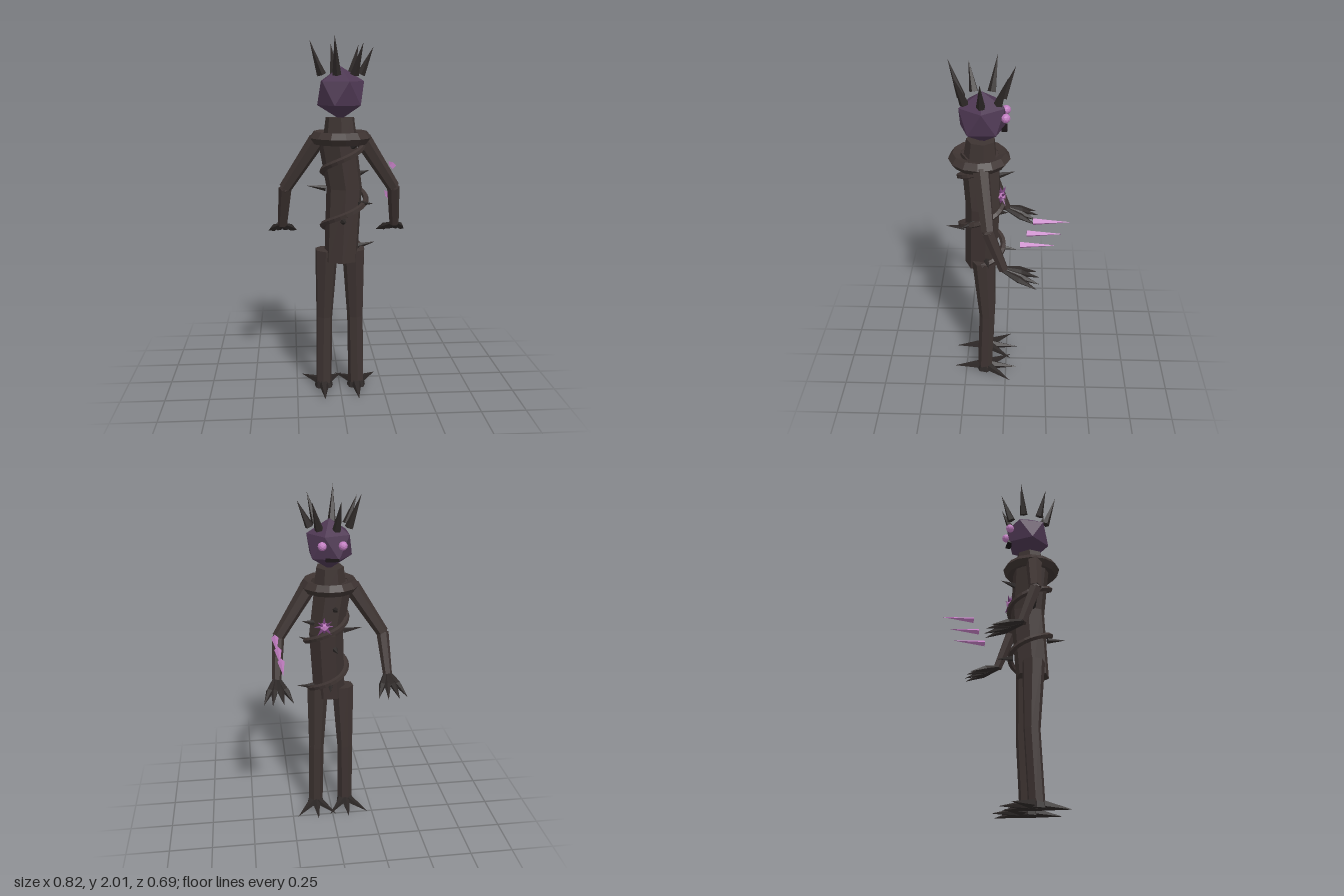
import * as THREE from 'three';

const paint = (name, color) => {
  const m = new THREE.MeshStandardMaterial({ color });
  m.name = name;
  return m;
};
const V = (x, y, z) => new THREE.Vector3(x, y, z);

export function createModel() {
  const bark = paint('bark brown', 0x3d3331);
  const thornDark = paint('thorn dark', 0x2d2827);
  const headPurple = paint('head purple', 0x4e3853);
  const glowPink = paint('glow pink', 0xc07cc0);
  const heartPurple = paint('heart purple', 0x75407a);
  const mouthBlack = paint('mouth black', 0x171214);

  const model = new THREE.Group();
  model.name = 'thornCreature';

  // Faceted mesh: every triangle keeps its own normal
  const add = (name, geometry, material, parent = model) => {
    const g = geometry.index ? geometry.toNonIndexed() : geometry;
    g.computeVertexNormals();
    const mesh = new THREE.Mesh(g, material);
    mesh.name = name;
    parent.add(mesh);
    return mesh;
  };

  const place = (g, a, b) => {
    const d = b.clone().sub(a);
    const q = new THREE.Quaternion().setFromUnitVectors(V(0, 1, 0), d.normalize());
    const mid = a.clone().add(b).multiplyScalar(0.5);
    return g.applyQuaternion(q).translate(mid.x, mid.y, mid.z);
  };
  // Tapered branch from a to b
  const limb = (a, b, ra, rb, sides) =>
    place(new THREE.CylinderGeometry(rb, ra, a.distanceTo(b), sides), a, b);
  const spike = (a, b, r, sides = 5) =>
    place(new THREE.ConeGeometry(r, a.distanceTo(b), sides), a, b);
  // Finger that swells at the knuckle and ends in a point
  const spindle = (a, b, r) => {
    const l = a.distanceTo(b);
    const pts = [[0, -0.5], [0.55, -0.49], [1, -0.02], [0, 0.5]];
    return place(new THREE.LatheGeometry(
      pts.map(([x, y]) => new THREE.Vector2(x * r, y * l)), 5), a, b);
  };

  // Bent trunk: rows of a cylinder moved to stations [x, y, z, radius], top to bottom
  const trunk = (stations, sides) => {
    const rows = stations.length - 1;
    const g = new THREE.CylinderGeometry(1, 1, 1, sides, rows);
    const p = g.attributes.position;
    for (let i = 0; i < p.count; i++) {
      const [x, y, z, r] = stations[Math.round((0.5 - p.getY(i)) * rows)];
      p.setXYZ(i, x + p.getX(i) * r, y, z + p.getZ(i) * r);
    }
    return g;
  };
  add('torso', trunk([
    [-0.02, 1.48, 0.14, 0.11],
    [0.025, 1.18, 0.125, 0.102],
    [0.005, 0.77, 0.145, 0.096],
  ], 7), bark);
  add('neck', limb(V(0, 1.42, 0.14), V(0, 1.57, 0.135), 0.1, 0.08, 7), bark);

  const collar = new THREE.TorusGeometry(0.135, 0.036, 5, 13);
  add('collar', collar.rotateX(Math.PI / 2).translate(0, 1.462, 0.145), bark);

  // Head: twenty-sided solid standing on one corner
  const R = 0.143;
  const head = new THREE.IcosahedronGeometry(R, 0);
  const corner = V(0, 1, (1 + Math.sqrt(5)) / 2).normalize();
  head.applyQuaternion(new THREE.Quaternion().setFromUnitVectors(corner, V(0, 1, 0)));
  // Turn one corner of the upper ring to +x
  const hp = head.attributes.position;
  let turn = 0;
  for (let i = 0; i < hp.count; i++) {
    if (hp.getY(i) > 0.2 * R && hp.getY(i) < 0.9 * R) turn = Math.atan2(hp.getZ(i), hp.getX(i));
  }
  add('head', head.rotateY(turn).translate(0.003, 1.70, 0.125), headPurple);

  // Crown of seven thorns
  const tipHeights = [1.945, 1.965, 2.0, 1.955, 1.985, 1.965, 1.96];
  tipHeights.forEach((y, i) => {
    const a = (i / 7) * Math.PI * 2;
    const at = (r, h) => V(r * Math.cos(a), h, 0.125 + r * Math.sin(a));
    add('crownThorn', spike(at(0.112, 1.8), at(0.18, y), 0.025), thornDark);
  });

  // Face
  for (const s of [-1, 1]) {
    add('eye', new THREE.IcosahedronGeometry(0.025, 1).translate(0.057 * s, 1.717, 0), glowPink);
  }
  add('mouth', new THREE.BoxGeometry(0.075, 0.014, 0.03).translate(0, 1.637, 0.008), mouthBlack);

  // Arms, hands, legs and feet
  for (const s of [-1, 1]) {
    const P = (x, y, z) => V(x * s, y, z);
    const arm = new THREE.Group();
    arm.name = s > 0 ? 'leftArm' : 'rightArm';
    const elbow = P(0.305, 1.175, 0.088);
    const wrist = P(0.325, 0.945, 0.005);
    add('upperArm', limb(P(0.125, 1.45, 0.13), elbow, 0.048, 0.036, 6), bark, arm);
    add('elbow', new THREE.IcosahedronGeometry(0.035, 0).translate(elbow.x, elbow.y, elbow.z), bark, arm);
    add('forearm', limb(elbow, wrist, 0.036, 0.027, 6), bark, arm);
    [[0.41, -0.18], [0.36, -0.195], [0.295, -0.195], [0.24, -0.18]].forEach(([x, z]) => {
      add('finger', spindle(P(0.325 + (x - 0.325) * 0.12, 0.948, 0.012), P(x, 0.872, z), 0.021), thornDark, arm);
    });
    model.add(arm);

    const leg = new THREE.Group();
    leg.name = s > 0 ? 'leftLeg' : 'rightLeg';
    const knee = P(0.09, 0.425, 0.112);
    add('thigh', limb(P(0.077, 0.83, 0.13), knee, 0.066, 0.047, 7), bark, leg);
    add('shin', limb(P(0.09, 0.435, 0.112), P(0.095, 0.03, 0.13), 0.047, 0.046, 7), bark, leg);
    add('foot', limb(P(0.095, 0.002, 0.13), P(0.095, 0.05, 0.13), 0.055, 0.042, 7), thornDark, leg);
    [[0.22, -0.03], [0.095, -0.07], [-0.02, -0.03], [0.095, 0.325]].forEach(([x, z]) => {
      add('footClaw', spike(P(0.095, 0.026, 0.13), P(x, 0.008, z), 0.034), thornDark, leg);
    });
    model.add(leg);
  }

  // Vine: two turns around the torso
  const vinePoints = [];
  for (let i = 0; i <= 32; i++) {
    const a = (i / 32) * Math.PI * 4;
    const y = 0.82 + 0.61 * (i / 32);
    const lean = 0.025 * Math.sin(((y - 0.77) / 0.7) * Math.PI);
    vinePoints.push(V(lean + 0.118 * Math.cos(a), y, 0.137 - 0.122 * Math.sin(a)));
  }
  const vine = new THREE.CatmullRomCurve3(vinePoints);
  add('vine', new THREE.TubeGeometry(vine, 48, 0.017, 5), bark);

  // Body thorns: base, tip
  [
    [[-0.08, 1.18, 0.13], [-0.19, 1.195, 0.13]],
    [[0.1, 1.25, 0.09], [0.17, 1.27, 0.07]],
    [[0.1, 0.84, 0.11], [0.205, 0.86, 0.09]],
    [[0.01, 1.01, 0.24], [0.015, 1.025, 0.35]],
    [[-0.02, 1.34, 0.04], [-0.02, 1.365, -0.05]],
    [[0.06, 1.42, 0.22], [0.1, 1.445, 0.27]],
    [[0.1, 1.1, 0.18], [0.175, 1.11, 0.245]],
    [[0.01, 0.88, 0.03], [0.02, 0.87, -0.06]],
    [[-0.02, 1.1, 0.04], [-0.03, 1.09, -0.01]],
  ].forEach(([a, b]) => add('bodyThorn', spike(V(...a), V(...b), 0.018), thornDark));

  // Heart: a core with spikes all round, set in the chest
  const heartCentre = V(0.045, 1.245, 0.025);
  add('heartCore', new THREE.IcosahedronGeometry(0.027, 0).translate(...heartCentre.toArray()), glowPink);
  for (let i = 0; i < 8; i++) {
    const a = (i / 8) * Math.PI * 2;
    const tip = V(Math.cos(a) * 0.058, Math.sin(a) * 0.058, i % 2 ? -0.025 : 0.005);
    add('heartSpike', spike(heartCentre, tip.add(heartCentre), 0.015, 4), heartPurple);
  }

  // Three shards floating beside the left hand
  [
    [0.335, 1.263, -0.15, -0.345],
    [0.319, 1.178, -0.118, -0.312],
    [0.302, 1.093, -0.083, -0.28],
  ].forEach(([x, y, z0, z1]) =>
    add('shard', spike(V(x, y, z0), V(x, y, z1), 0.02, 4), glowPink));

  return model;
}
